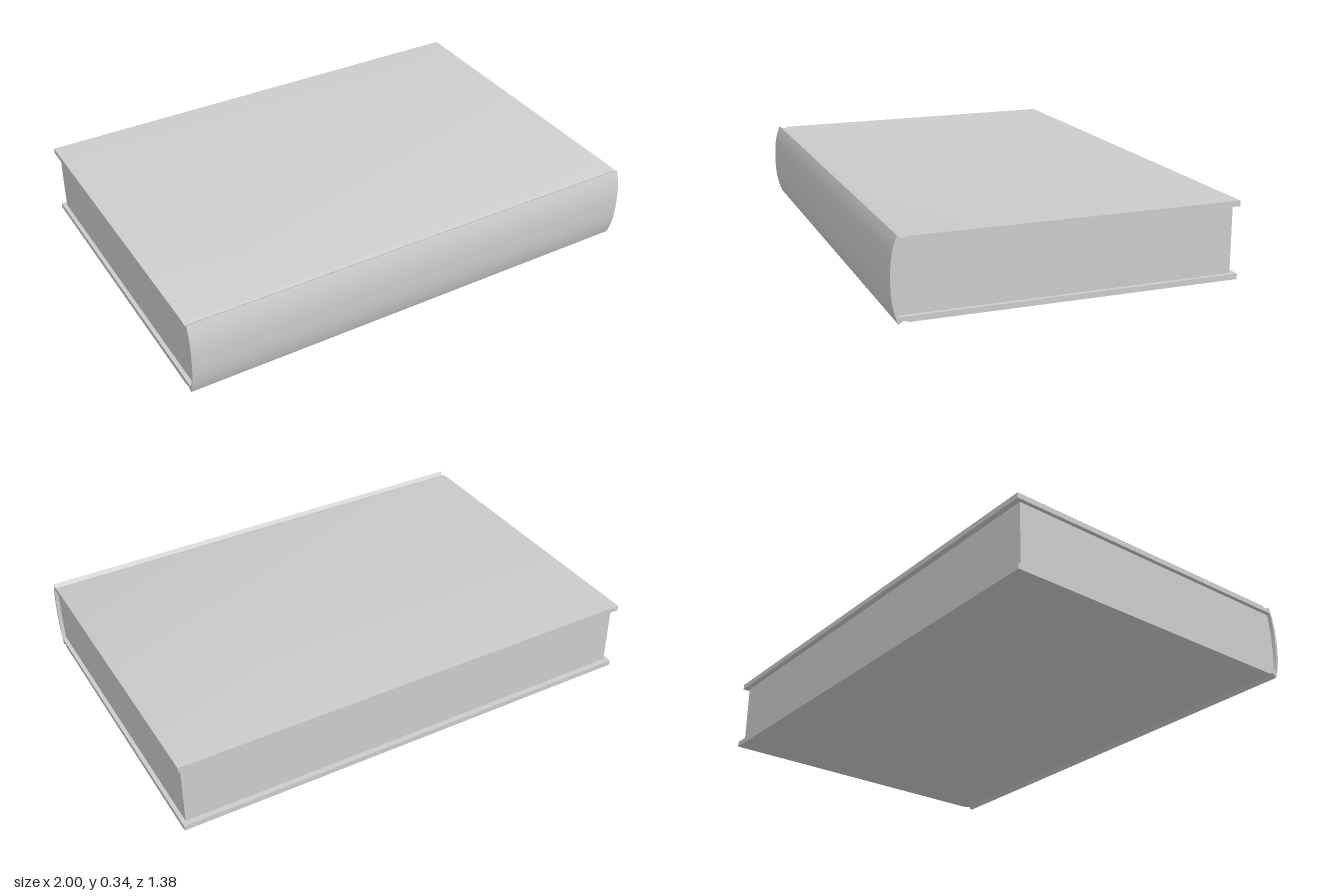
import * as THREE from 'three';
import { toCreasedNormals } from 'three/addons/utils/BufferGeometryUtils.js';

const material = new THREE.MeshStandardMaterial({ color: 0xcccccc });

// Points along a bulging spine, from the top (y = +h) down to the bottom.
function bulge(zEnd, zMid, h, steps = 20) {
  const points = [];
  for (let i = 0; i <= steps; i++) {
    const t = 1 - (2 * i) / steps;
    points.push([zMid - (zMid - zEnd) * Math.abs(t) ** 2.5, h * t]);
  }
  return points;
}

// Extrude a closed (z, y) outline along x, centred.
function extrudeAlongX(name, outline, length) {
  const shape = new THREE.Shape(outline.map(([z, y]) => new THREE.Vector2(z, y)));
  const geometry = new THREE.ExtrudeGeometry(shape, { depth: length, bevelEnabled: false });
  geometry.translate(0, 0, -length / 2).rotateY(-Math.PI / 2);
  const mesh = new THREE.Mesh(toCreasedNormals(geometry, 0.4), material);
  mesh.name = name;
  return mesh;
}

const mirrorY = (points) => points.map(([z, y]) => [z, -y]).reverse();

export function createModel() {
  const group = new THREE.Group();
  group.name = 'book';

  // Case: two boards joined by a curved spine, with a groove at each hinge
  const board = [[-0.678, 0.132], [-0.678, 0.154], [0.615, 0.154], [0.638, 0.147]];
  const spineOuter = bulge(0.655, 0.682, 0.16);
  const spineInner = bulge(0.659, 0.671, 0.132).reverse();
  group.add(extrudeAlongX('cover', [...board, ...spineOuter, ...mirrorY(board), ...spineInner], 1.988));

  // Page block, set in from the boards on three sides
  const pages = [[-0.655, 0.1325], ...bulge(0.66, 0.672, 0.1325), [-0.655, -0.1325]];
  group.add(extrudeAlongX('pages', pages, 1.956));

  // The book lies very slightly askew
  group.position.y = 0.176;
  group.rotation.set(0.007, -0.0075, -0.009);
  return group;
}
